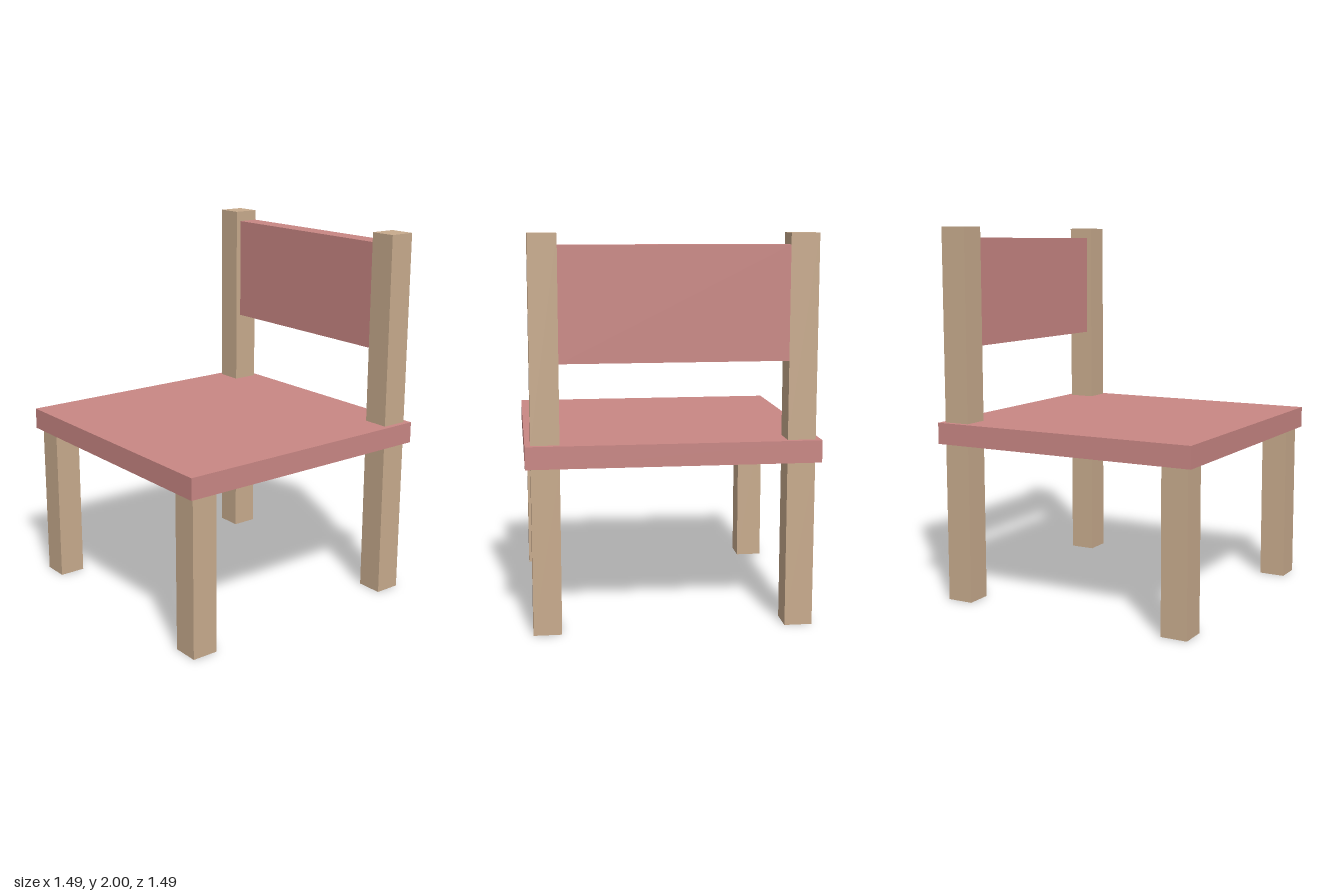
import * as THREE from 'three';

const wood = new THREE.MeshStandardMaterial({ name: 'tan wood', color: 0xc8ab8d });
const cushion = new THREE.MeshStandardMaterial({ name: 'dusty pink', color: 0xc98784 });

// Box spanning a width and depth about (x, z), between two heights
function slab(name, material, width, depth, bottom, top, x, z) {
  const mesh = new THREE.Mesh(new THREE.BoxGeometry(width, top - bottom, depth), material);
  mesh.name = name;
  mesh.position.set(x, (bottom + top) / 2, z);
  return mesh;
}

export function createModel() {
  const chair = new THREE.Group();
  chair.name = 'chair';

  const legSize = 0.143, legOffset = 0.643;
  const seatBottom = 0.857, seatTop = 0.971;

  // Legs, with the rear pair continuing above the seat as back posts
  for (const [side, sign] of [['left', 1], ['right', -1]]) {
    const x = sign * legOffset;
    chair.add(
      slab(`${side}FrontLeg`, wood, legSize, legSize, 0, seatBottom, x, legOffset),
      slab(`${side}BackLeg`, wood, legSize, legSize, 0, seatBottom, x, -legOffset),
      slab(`${side}BackPost`, wood, legSize, legSize, seatTop, 2, x, -legOffset)
    );
  }

  // Seat board
  chair.add(slab('seat', cushion, 1.486, 1.486, seatBottom, seatTop, 0, 0));

  // Backrest between the posts, flush with their rear faces
  const backDepth = 0.114;
  const backZ = -legOffset - legSize / 2 + backDepth / 2;
  chair.add(slab('backrest', cushion, 2 * legOffset - legSize, backDepth, 1.371, 1.943, 0, backZ));

  return chair;
}
